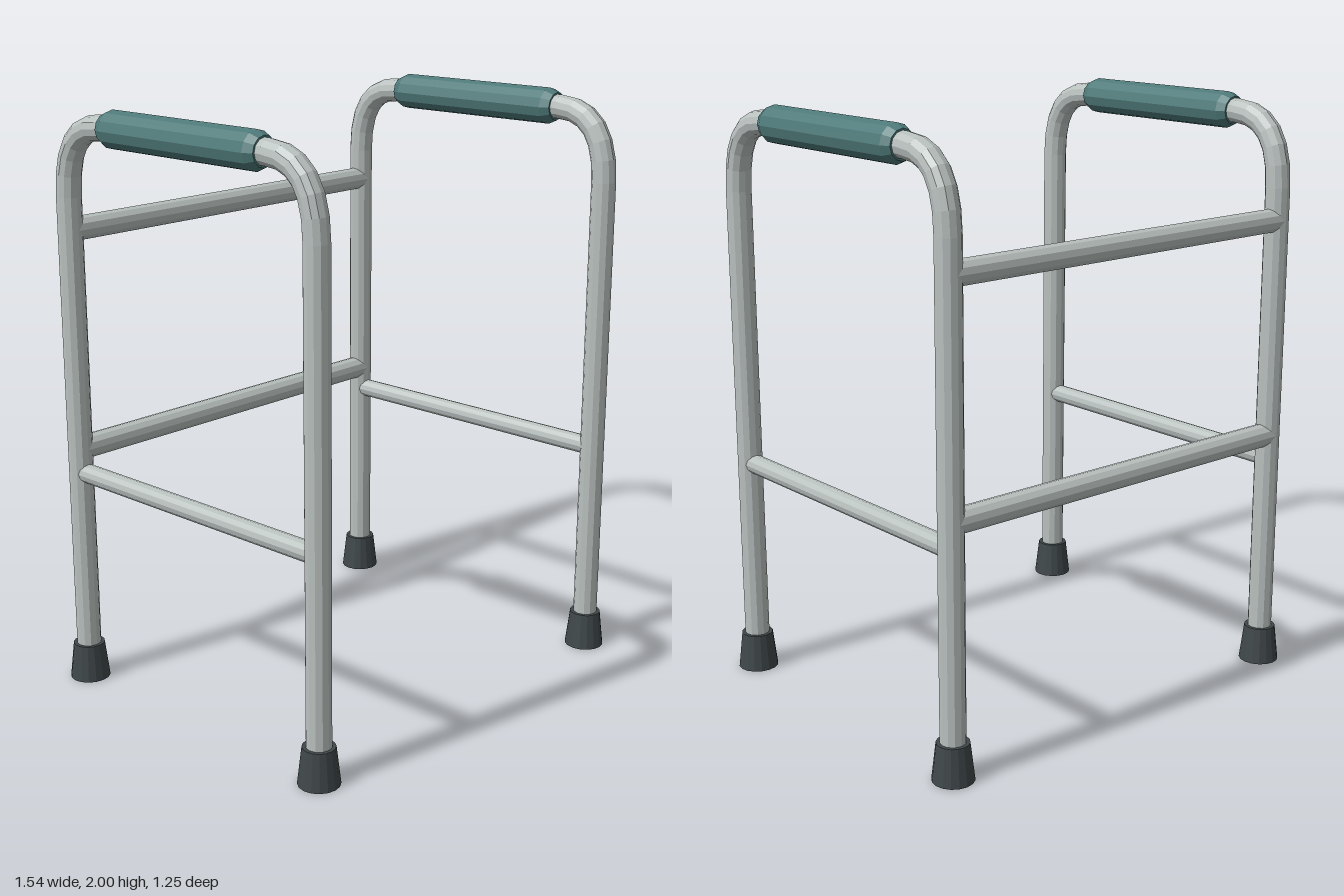
import * as THREE from 'three';

const SIDES = 12;
const LEG_X = 0.702, LEG_Z = 0.557, TOP_Y = 1.938, TUBE_R = 0.042;

const material = (color) => new THREE.MeshStandardMaterial({ color, flatShading: true });

// Path through exact points, so straight runs stay one segment long
class PolylineCurve extends THREE.Curve {
  constructor(points) { super(); this.points = points; }
  index(u) { return Math.round(u * (this.points.length - 1)); }
  getPointAt(u) { return this.points[this.index(u)].clone(); }
  getTangentAt(u) {
    const i = this.index(u), p = this.points;
    const before = p[Math.max(i - 1, 0)], at = p[i], after = p[Math.min(i + 1, p.length - 1)];
    return at.clone().sub(before).normalize().add(after.clone().sub(at).normalize()).normalize();
  }
}

// Inverted U: back leg, bend, handle rail, bend, front leg
function framePoints() {
  const bend = (s) => new THREE.QuadraticBezierCurve3(
    new THREE.Vector3(0, 1.7, s * LEG_Z),
    new THREE.Vector3(0, TOP_Y, s * LEG_Z),
    new THREE.Vector3(0, TOP_Y, s * 0.37)
  ).getPoints(6);
  return [
    new THREE.Vector3(0, 0.04, -LEG_Z), ...bend(-1),
    ...bend(1).reverse(), new THREE.Vector3(0, 0.04, LEG_Z),
  ];
}

export function createModel() {
  const model = new THREE.Group();
  model.name = 'walkingFrame';
  const metal = material(0xb8c0be), foam = material(0x4f7a7a), rubber = material(0x3f4749);

  const add = (name, geometry, mat, x, y, z) => {
    const mesh = new THREE.Mesh(geometry, mat);
    mesh.name = name;
    mesh.position.set(x, y, z);
    model.add(mesh);
    return mesh;
  };

  const points = framePoints();
  const frame = new THREE.TubeGeometry(new PolylineCurve(points), points.length - 1, TUBE_R, SIDES, false);
  const foot = new THREE.CylinderGeometry(0.054, 0.069, 0.127, 16);
  const sideBar = new THREE.CylinderGeometry(0.033, 0.033, LEG_Z * 2, SIDES).rotateX(Math.PI / 2);

  // Padded grip with tapered ends
  const grip = new THREE.LatheGeometry(
    [[0, -0.352], [0.048, -0.352], [0.062, -0.32], [0.062, 0.32], [0.048, 0.352], [0, 0.352]]
      .map(([r, y]) => new THREE.Vector2(r, y)), SIDES
  ).rotateX(Math.PI / 2);

  for (const [side, s] of [['left', 1], ['right', -1]]) {
    const x = s * LEG_X;
    add(`${side}Frame`, frame, metal, x, 0, 0);
    add(`${side}Grip`, grip, foam, x, TOP_Y, 0);
    add(`${side}SideBar`, sideBar, metal, x, 0.757, 0);
    add(`${side}FrontFoot`, foot, rubber, x, 0.0635, LEG_Z);
    add(`${side}BackFoot`, foot, rubber, x, 0.0635, -LEG_Z);
  }

  // Two rails joining the back legs
  const backBar = new THREE.CylinderGeometry(0.041, 0.041, LEG_X * 2, SIDES).rotateZ(Math.PI / 2);
  add('upperBackBar', backBar, metal, 0, 1.59, -LEG_Z);
  add('lowerBackBar', backBar, metal, 0, 0.84, -LEG_Z);

  return model;
}
